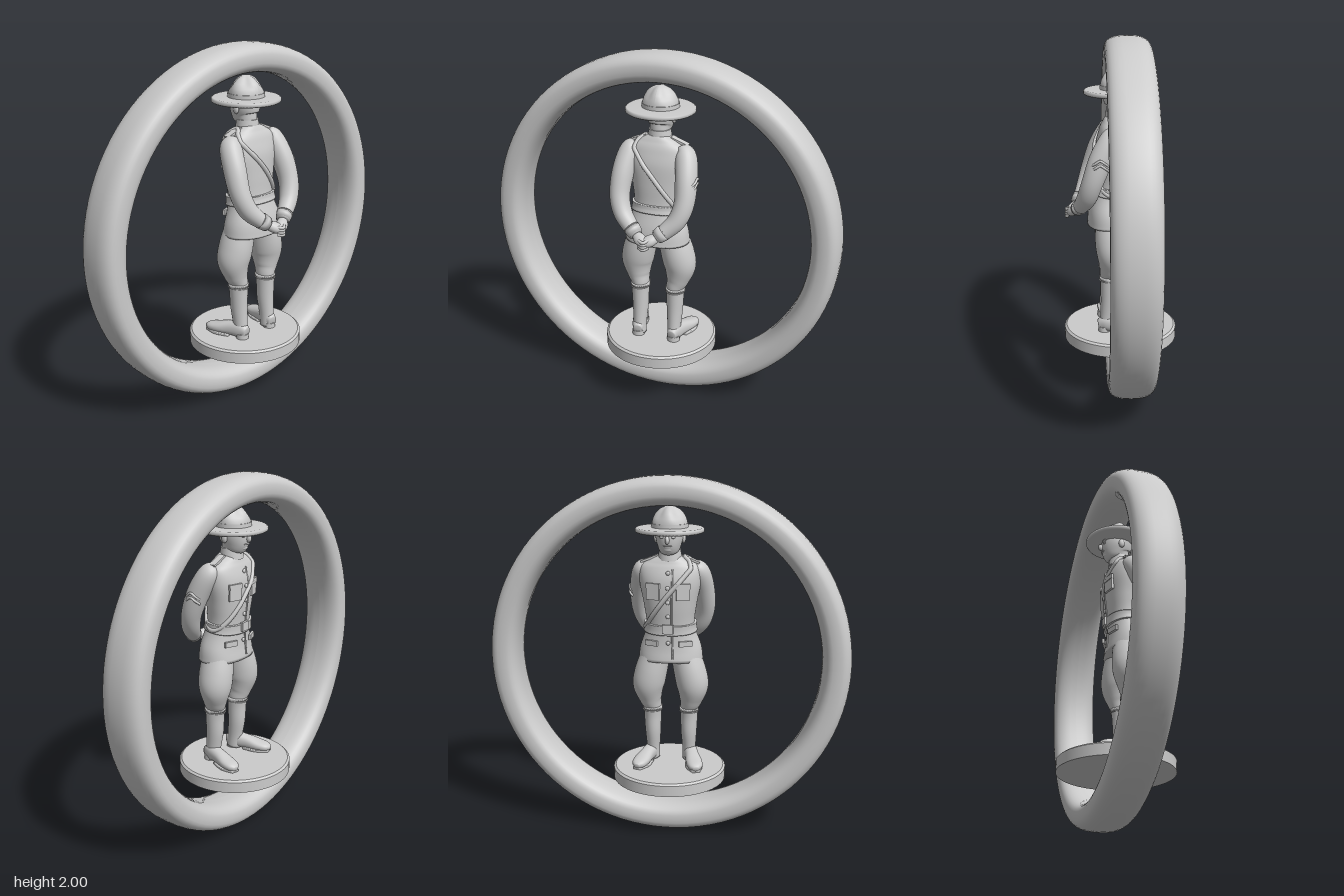
import * as THREE from 'three';

const material = new THREE.MeshStandardMaterial({ color: 0xcccccc, roughness: 0.8 });
const V = (x, y, z) => new THREE.Vector3(x, y, z);

function add(parent, name, geometry, x = 0, y = 0, z = 0) {
  const mesh = new THREE.Mesh(geometry, material);
  mesh.name = name;
  mesh.position.set(x, y, z);
  parent.add(mesh);
  return mesh;
}

// Smooth skin over sections [x, y, z, a, b]: a is the half width along ref, b across it.
function loft(sections, { ref = V(1, 0, 0), power = 2, steps = 6, sides = 32 } = {}) {
  const path = new THREE.CatmullRomCurve3(sections.map(s => V(s[0], s[1], s[2])), false, 'catmullrom');
  const sizes = new THREE.CatmullRomCurve3(sections.map(s => V(s[3], s[4], 0)), false, 'catmullrom');
  const rows = (sections.length - 1) * steps;
  const pos = [], index = [];
  const bend = c => Math.sign(c) * Math.abs(c) ** (2 / power);
  for (let i = -1; i <= rows + 1; i++) {
    const k = Math.min(Math.max(i / rows, 0), 1);
    const c = path.getPoint(k), t = path.getTangent(k), size = sizes.getPoint(k);
    const cap = i < 0 || i > rows ? 0 : 1;
    const u = ref.clone().addScaledVector(t, -ref.dot(t)).normalize();
    const v = t.clone().cross(u);
    for (let j = 0; j < sides; j++) {
      const q = j / sides * Math.PI * 2;
      const p = c.clone().addScaledVector(u, cap * size.x * bend(Math.cos(q)))
        .addScaledVector(v, cap * size.y * bend(Math.sin(q)));
      pos.push(p.x, p.y, p.z);
      if (i <= rows) {
        const a = (i + 1) * sides + j, b = (i + 1) * sides + (j + 1) % sides;
        index.push(a, b, a + sides, b, b + sides, a + sides);
      }
    }
  }
  const g = new THREE.BufferGeometry();
  g.setAttribute('position', new THREE.Float32BufferAttribute(pos, 3));
  g.setIndex(index);
  g.computeVertexNormals();
  return g;
}

const lathe = (points, segments = 48) =>
  new THREE.LatheGeometry(points.map(p => new THREE.Vector2(p[0], p[1])), segments);
const tube = (points, r, closed = false) =>
  new THREE.TubeGeometry(new THREE.CatmullRomCurve3(points, closed), points.length * 4, r, 8, closed);
const ball = (rx, ry, rz) => new THREE.SphereGeometry(1, 20, 14).scale(rx, ry, rz);

const torso = [
  [0, 0.975, 0.06, 0.182, 0.125], [0, 1.05, 0.06, 0.172, 0.117], [0, 1.17, 0.045, 0.135, 0.1],
  [0, 1.3, 0.035, 0.148, 0.105], [0, 1.42, 0.03, 0.17, 0.105], [0, 1.5, 0.03, 0.165, 0.085],
  [0, 1.54, 0.028, 0.115, 0.068], [0, 1.57, 0.025, 0.055, 0.055]];

// Point on the tunic at a height and angle, lifted off the cloth
function onTorso(y, angle, lift = 0) {
  let i = 0;
  while (i < torso.length - 2 && torso[i + 1][1] < y) i++;
  const k = (y - torso[i][1]) / (torso[i + 1][1] - torso[i][1]);
  const [, , z, a, b] = torso[i].map((n, j) => THREE.MathUtils.lerp(n, torso[i + 1][j], k));
  return V((a + lift) * Math.cos(angle), y, z + (b + lift) * Math.sin(angle));
}

function buildTunic(g) {
  add(g, 'tunic', loft(torso, { power: 2.2, sides: 48 }));
  add(g, 'belt', loft([[0, 1.145, 0.048, 0.15, 0.115], [0, 1.17, 0.045, 0.146, 0.112], [0, 1.195, 0.043, 0.147, 0.112]],
    { power: 2.2, sides: 48 }));
  add(g, 'beltBuckle', new THREE.BoxGeometry(0.06, 0.05, 0.015), 0, 1.17, -0.07);
  add(g, 'collar', new THREE.CylinderGeometry(0.059, 0.066, 0.06, 32), 0, 1.572, 0.02);
  // Strap over one shoulder, down to the opposite hip
  const strap = [];
  for (let i = 0; i < 40; i++) {
    const q = i / 40 * Math.PI * 2;
    strap.push(onTorso(1.36 - 0.2 * Math.cos(q), q, 0.005));
  }
  add(g, 'shoulderStrap', tube(strap, 0.013, true));
  // Front edge and buttons
  const edge = [1, 1.06, 1.13, 1.22, 1.3, 1.4, 1.5].map(y => onTorso(y, -Math.PI / 2 - 0.14, 0.002));
  add(g, 'frontEdge', tube(edge, 0.005));
  for (const y of [1.09, 1.24, 1.32, 1.4, 1.48]) {
    const p = onTorso(y, -Math.PI / 2, 0.004);
    add(g, 'button', ball(0.012, 0.012, 0.008), p.x, p.y, p.z);
  }
  for (const s of [-1, 1]) {
    const pocket = add(g, 'chestPocket', new THREE.BoxGeometry(0.075, 0.085, 0.016), s * 0.082, 1.375, -0.063);
    pocket.rotation.y = s * -0.3;
    const flap = add(g, 'pocketFlap', new THREE.BoxGeometry(0.08, 0.028, 0.022), s * 0.082, 1.41, -0.064);
    flap.rotation.y = s * -0.3;
    const tab = add(g, 'shoulderTab', new THREE.BoxGeometry(0.1, 0.012, 0.04), s * 0.115, 1.545, 0.03);
    tab.rotation.z = s * -0.38;
    const hip = add(g, 'hipPocketFlap', new THREE.BoxGeometry(0.075, 0.03, 0.014), s * 0.095, 1.085, -0.046);
    hip.rotation.y = s * -0.38;
  }
}

function buildArm(g, s) {
  add(g, 'arm', loft([
    [s * 0.125, 1.51, 0.035, 0.03, 0.04], [s * 0.155, 1.475, 0.055, 0.058, 0.06], [s * 0.178, 1.37, 0.11, 0.06, 0.064],
    [s * 0.183, 1.25, 0.155, 0.055, 0.058], [s * 0.155, 1.16, 0.185, 0.051, 0.054],
    [s * 0.1, 1.1, 0.215, 0.044, 0.044], [s * 0.055, 1.065, 0.24, 0.035, 0.035]]));
  add(g, 'cuff', loft([
    [s * 0.092, 1.095, 0.22, 0.046, 0.046], [s * 0.06, 1.07, 0.238, 0.04, 0.04]], { steps: 3 }));
  add(g, 'hand', loft([
    [s * 0.055, 1.065, 0.24, 0.026, 0.026], [s * 0.025, 1.05, 0.262, 0.034, 0.028],
    [s * -0.01, 1.035, 0.28, 0.024, 0.022]], { steps: 4 }));
}

function buildLeg(g, s) {
  add(g, 'breeches', loft([
    [s * 0.105, 0.64, 0.06, 0.044, 0.05], [s * 0.105, 0.69, 0.058, 0.05, 0.058], [s * 0.117, 0.74, 0.05, 0.066, 0.07],
    [s * 0.126, 0.82, 0.042, 0.09, 0.092], [s * 0.112, 0.9, 0.045, 0.092, 0.098],
    [s * 0.085, 1, 0.05, 0.083, 0.09]]));
  add(g, 'boot', loft([
    [s * 0.104, 0.37, 0.08, 0.037, 0.046], [s * 0.104, 0.44, 0.073, 0.038, 0.045], [s * 0.104, 0.54, 0.062, 0.045, 0.052],
    [s * 0.105, 0.63, 0.06, 0.049, 0.055], [s * 0.105, 0.685, 0.058, 0.052, 0.06]]));
  add(g, 'bootCuff', loft([
    [s * 0.105, 0.668, 0.058, 0.056, 0.064], [s * 0.105, 0.69, 0.058, 0.055, 0.063]], { steps: 2 }));
  // Foot turned outwards, with sole and heel
  add(g, 'foot', loft([
    [s * 0.103, 0.4, 0.125, 0.025, 0.03], [s * 0.11, 0.41, 0.08, 0.038, 0.046], [s * 0.13, 0.405, 0.01, 0.04, 0.04],
    [s * 0.15, 0.395, -0.06, 0.046, 0.03], [s * 0.163, 0.389, -0.11, 0.038, 0.023],
    [s * 0.17, 0.384, -0.135, 0.015, 0.012]], { power: 2.3 }));
  const side = V(0.96, 0, s * 0.28);
  add(g, 'sole', loft([
    [s * 0.128, 0.368, 0.02, 0.036, 0.01], [s * 0.15, 0.368, -0.06, 0.047, 0.01],
    [s * 0.168, 0.368, -0.13, 0.022, 0.01]], { ref: side, power: 4 }));
  add(g, 'heel', new THREE.CylinderGeometry(0.036, 0.036, 0.03, 20), s * 0.107, 0.375, 0.093);
}

function buildHead(g) {
  add(g, 'head', loft([
    [0, 1.55, 0.02, 0.05, 0.05], [0, 1.595, 0.015, 0.053, 0.06], [0, 1.625, 0.003, 0.064, 0.083],
    [0, 1.67, 0, 0.075, 0.09], [0, 1.73, 0.005, 0.077, 0.09]]));
  add(g, 'nose', ball(0.012, 0.022, 0.018), 0, 1.661, -0.092);
  add(g, 'mouth', ball(0.024, 0.006, 0.01), 0, 1.63, -0.081);
  add(g, 'chin', ball(0.026, 0.016, 0.018), 0, 1.609, -0.062);
  for (const s of [-1, 1]) {
    add(g, 'ear', ball(0.012, 0.027, 0.018), s * 0.076, 1.662, 0.012);
    add(g, 'eye', ball(0.013, 0.007, 0.008), s * 0.03, 1.676, -0.08);
    add(g, 'brow', ball(0.02, 0.006, 0.01), s * 0.03, 1.69, -0.081);
  }
}

function buildHat(g) {
  const hat = new THREE.Group();
  hat.name = 'hat';
  hat.position.set(0, 1.705, 0.01);
  g.add(hat);
  add(hat, 'brim', lathe([[0, -0.012], [0.18, -0.012], [0.188, -0.006], [0.188, 0.008], [0.18, 0.014], [0.09, 0.016], [0, 0.016]], 64));
  // Crown with four pinched dents
  const crown = lathe([[0.096, 0.01], [0.097, 0.04], [0.091, 0.065], [0.078, 0.09], [0.055, 0.113], [0.028, 0.126], [0, 0.13]], 48);
  const p = crown.attributes.position;
  for (let i = 0; i < p.count; i++) {
    const k = THREE.MathUtils.smoothstep(p.getY(i), 0.035, 0.1);
    const q = Math.atan2(p.getZ(i), p.getX(i));
    const f = 1 - k * 0.12 * (1 - Math.cos(4 * q));
    p.setXYZ(i, p.getX(i) * f, p.getY(i), p.getZ(i) * f);
  }
  crown.computeVertexNormals();
  add(hat, 'crown', crown);
  add(hat, 'hatBand', new THREE.CylinderGeometry(0.1, 0.101, 0.022, 40), 0, 0.026, 0);
}

export function createModel() {
  const model = new THREE.Group();
  model.name = 'figureInRing';

  // Surrounding ring with a rounded, wide cross-section
  const profile = [];
  for (let i = 0; i <= 32; i++) {
    const q = i / 32 * Math.PI * 2 + Math.PI;
    const r = c => Math.sign(c) * Math.abs(c) ** 0.75;
    profile.push([0.92 + 0.08 * r(Math.cos(q)), 0.126 * r(Math.sin(q))]);
  }
  add(model, 'ring', lathe(profile, 96).rotateX(Math.PI / 2), 0, 1, -0.04);

  // Round base with a bevelled rim
  add(model, 'base', new THREE.CylinderGeometry(0.32, 0.32, 0.062, 64), 0, 0.321, 0);
  add(model, 'baseBevel', new THREE.CylinderGeometry(0.308, 0.32, 0.01, 64), 0, 0.357, 0);

  const figure = new THREE.Group();
  figure.name = 'figure';
  model.add(figure);
  buildTunic(figure);
  for (const s of [-1, 1]) {
    buildArm(figure, s);
    buildLeg(figure, s);
  }
  // Clasped fingers
  for (let i = 0; i < 4; i++) {
    const y = 1.06 - i * 0.014;
    add(figure, 'finger', tube([V(0.025, y, 0.28), V(0, y - 0.008, 0.3), V(-0.03, y - 0.004, 0.283)], 0.009));
  }
  // Sleeve chevrons
  for (const y of [1.33, 1.355]) {
    add(figure, 'chevron', tube([V(0.215, y - 0.01, 0.165), V(0.237, y + 0.01, 0.14), V(0.24, y + 0.025, 0.115), V(0.236, y + 0.01, 0.09), V(0.215, y - 0.01, 0.07)], 0.007));
  }
  buildHead(figure);
  buildHat(figure);
  return model;
}
